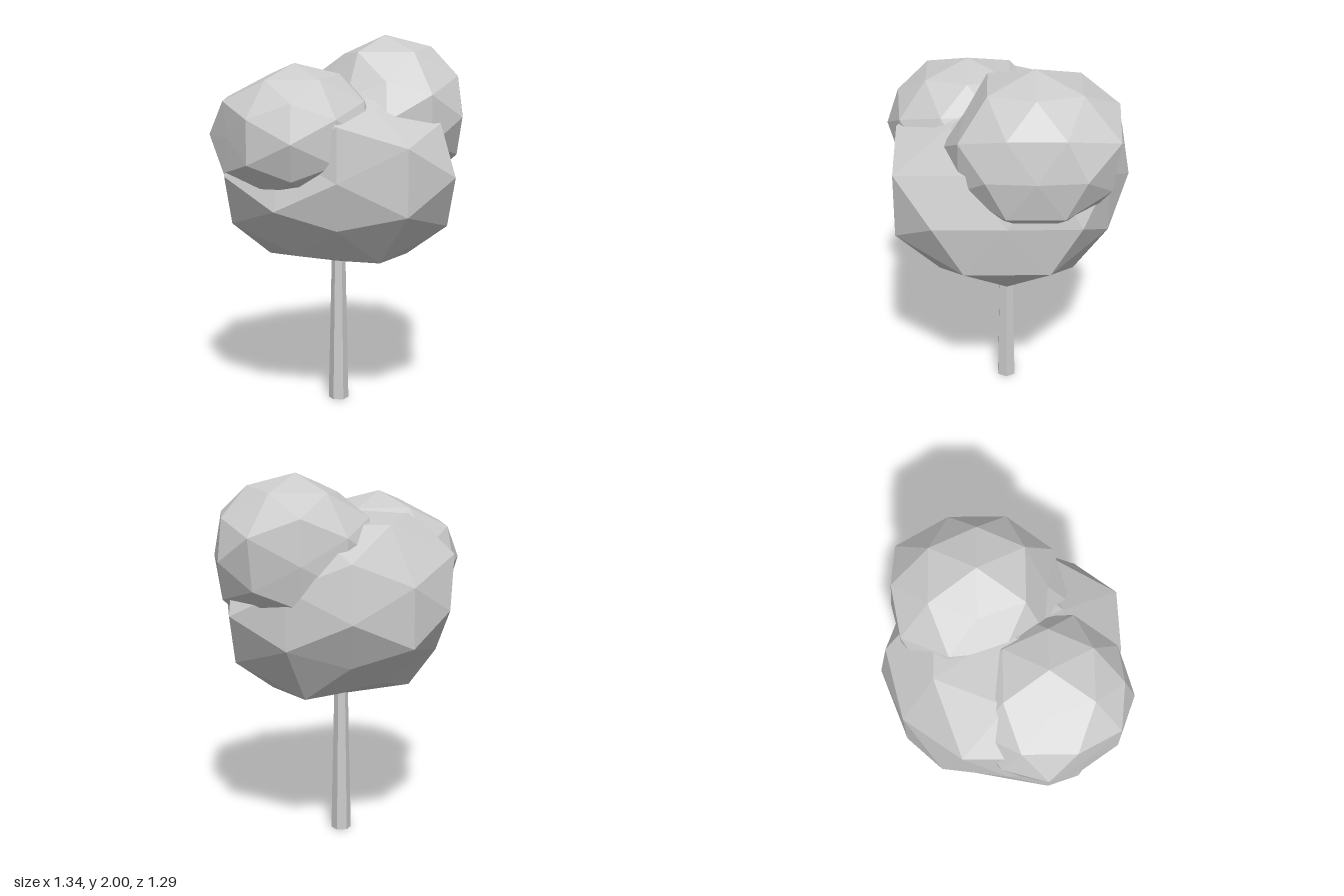
import * as THREE from 'three';

const grey = new THREE.MeshStandardMaterial({ color: 0xcccccc, flatShading: true, side: THREE.DoubleSide });
grey.name = 'plainGrey';

// Faceted leaf clump: a subdivided icosahedron, stretched, with some corners drawn in or out.
// Each dent is [x, y, z, factor]: the direction of a corner and its share of the full radius.
function clump(name, centre, size, dents) {
  const geo = new THREE.IcosahedronGeometry(1, 1);
  const pos = geo.attributes.position;
  const v = new THREE.Vector3();
  const scale = new THREE.Vector3(...size);
  const rules = dents.map(([x, y, z, factor]) => ({ dir: new THREE.Vector3(x, y, z).normalize(), factor }));
  for (let i = 0; i < pos.count; i++) {
    v.fromBufferAttribute(pos, i);
    const dent = rules.find(({ dir }) => dir.distanceTo(v) < 0.15);
    v.multiply(scale).multiplyScalar(dent ? dent.factor : 1);
    pos.setXYZ(i, v.x, v.y, v.z);
  }
  geo.computeVertexNormals();
  const mesh = new THREE.Mesh(geo, grey);
  mesh.name = name;
  mesh.position.set(...centre);
  return mesh;
}

export function createModel() {
  const tree = new THREE.Group();
  tree.name = 'tree';

  // Slim six-sided trunk, open at the ends, running up into the crown
  const trunkGeo = new THREE.CylinderGeometry(0.037, 0.055, 0.83, 6, 1, true);
  trunkGeo.rotateY(Math.PI / 6);
  const trunk = new THREE.Mesh(trunkGeo, grey);
  trunk.name = 'trunk';
  trunk.position.y = 0.415;
  tree.add(trunk);

  // Wide main crown: poles pressed in, back corners drawn in, a few uneven corners
  const crownDents = [
    [1, 0, 0, 0.86], [-1, 0, 0, 0.82], [0, 0, 1, 0.83],
    [0, 0, -1, 0.92], [0, 1, 0, 0.89], [0, -1, 0, 0.93],
    [0, 0.5, 0.8, 0.95], [0.3, 0.8, 0.5, 0.8], [0.8, 0.5, 0.3, 0.93], [-0.5, 0.3, 0.8, 0.8],
    [-0.8, 0, -0.5, 0.89], [-0.8, 0, 0.5, 0.96],
    [-0.5, -0.3, 0.8, 0.9], [-0.8, -0.5, 0.3, 0.97], [-0.8, -0.5, -0.3, 0.85],
    [-0.3, -0.8, 0.5, 0.93], [-0.3, -0.8, -0.5, 0.85],
  ];
  for (const s of [-1, 1]) {
    crownDents.push([0, -0.5, 0.8 * s, 0.86]);
    for (const t of [-1, 1]) crownDents.push([0.5 * s, 0.3 * t, -0.8, 0.91]);
  }
  tree.add(clump('mainCrown', [0, 1.3, 0], [0.71, 0.56, 0.71], crownDents));

  // Smaller clump low at the front
  tree.add(clump('frontClump', [-0.225, 1.5, 0.2], [0.445, 0.37, 0.44], [
    [-0.5, 0.8, 0, 0.86], [-0.8, 0, 0.5, 0.86],
  ]));

  // Smaller clump high at the back
  tree.add(clump('backClump', [0.25, 1.58, -0.14], [0.475, 0.42, 0.47], [
    [1, 0, 0, 0.89], [-1, 0, 0, 0.82], [0, 0, -1, 0.94],
    [-0.5, 0.8, 0, 0.89], [0, 0.5, 0.8, 0.87], [-0.5, 0.3, 0.8, 0.86],
    [-0.8, 0.5, 0.3, 0.88], [-0.8, 0.5, -0.3, 0.96],
    [0.5, 0.3, -0.8, 1.09], [0, 0.5, -0.8, 1.06],
  ]));

  return tree;
}
